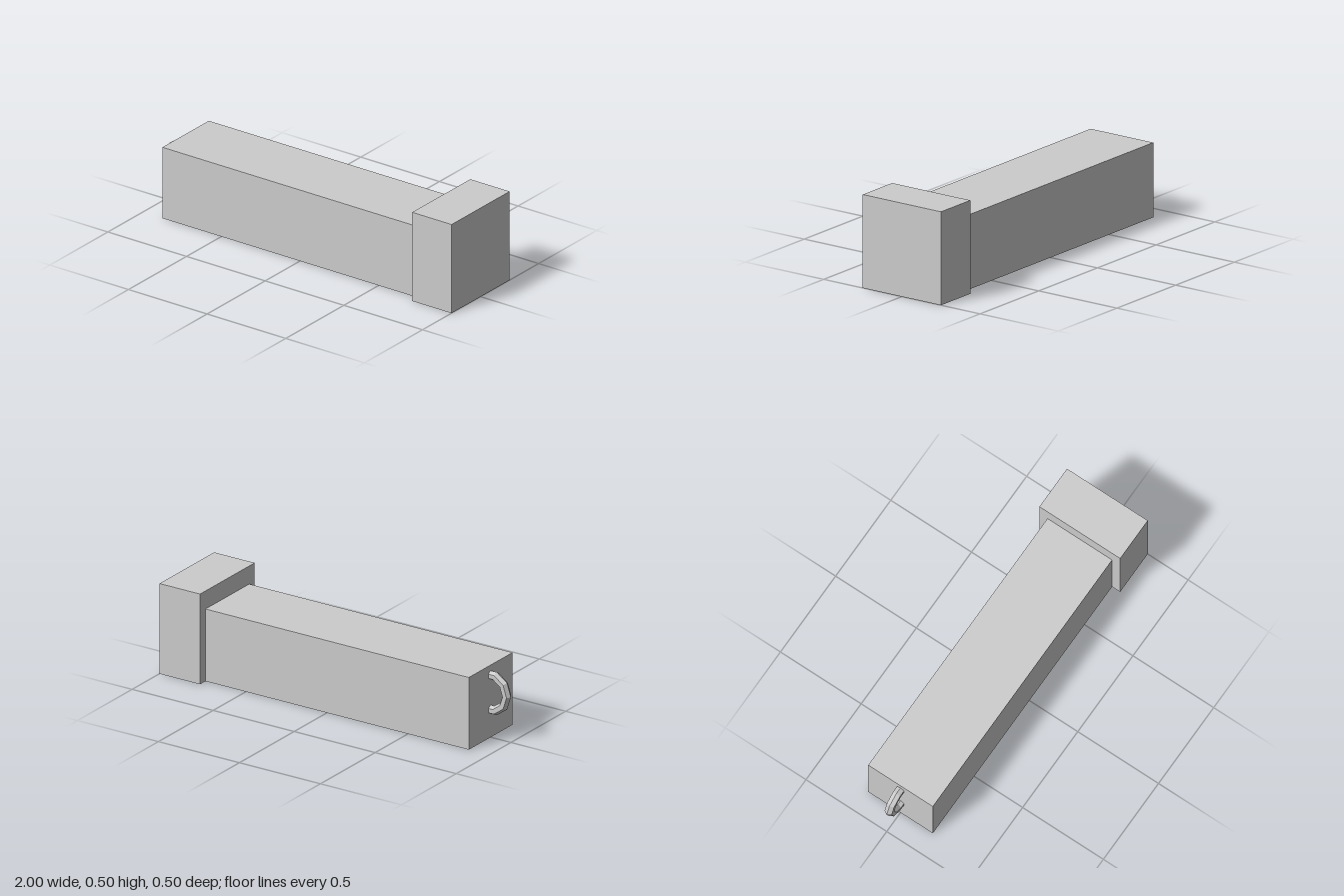
import * as THREE from 'three';

export function createModel() {
  const model = new THREE.Group();
  const grey = new THREE.MeshStandardMaterial({ color: 0xcccccc });
  grey.name = 'lightGrey';

  const add = (name, geometry, x, y, z) => {
    const mesh = new THREE.Mesh(geometry, grey);
    mesh.name = name;
    mesh.position.set(x, y, z);
    model.add(mesh);
    return mesh;
  };

  // Long square shaft
  add('shaft', new THREE.BoxGeometry(1.625, 0.4, 0.4), -0.0625, 0.2, 0);

  // Wider block at the end, flush with the shaft underneath
  add('endBlock', new THREE.BoxGeometry(0.25, 0.5, 0.5), 0.875, 0.25, 0);

  // Faceted ring, half sunk into the other end
  const ringGeometry = new THREE.TorusGeometry(0.1, 0.025, 6, 10).toNonIndexed();
  ringGeometry.computeVertexNormals(); // flat facets
  add('ring', ringGeometry, -0.875, 0.25, 0);

  return model;
}
